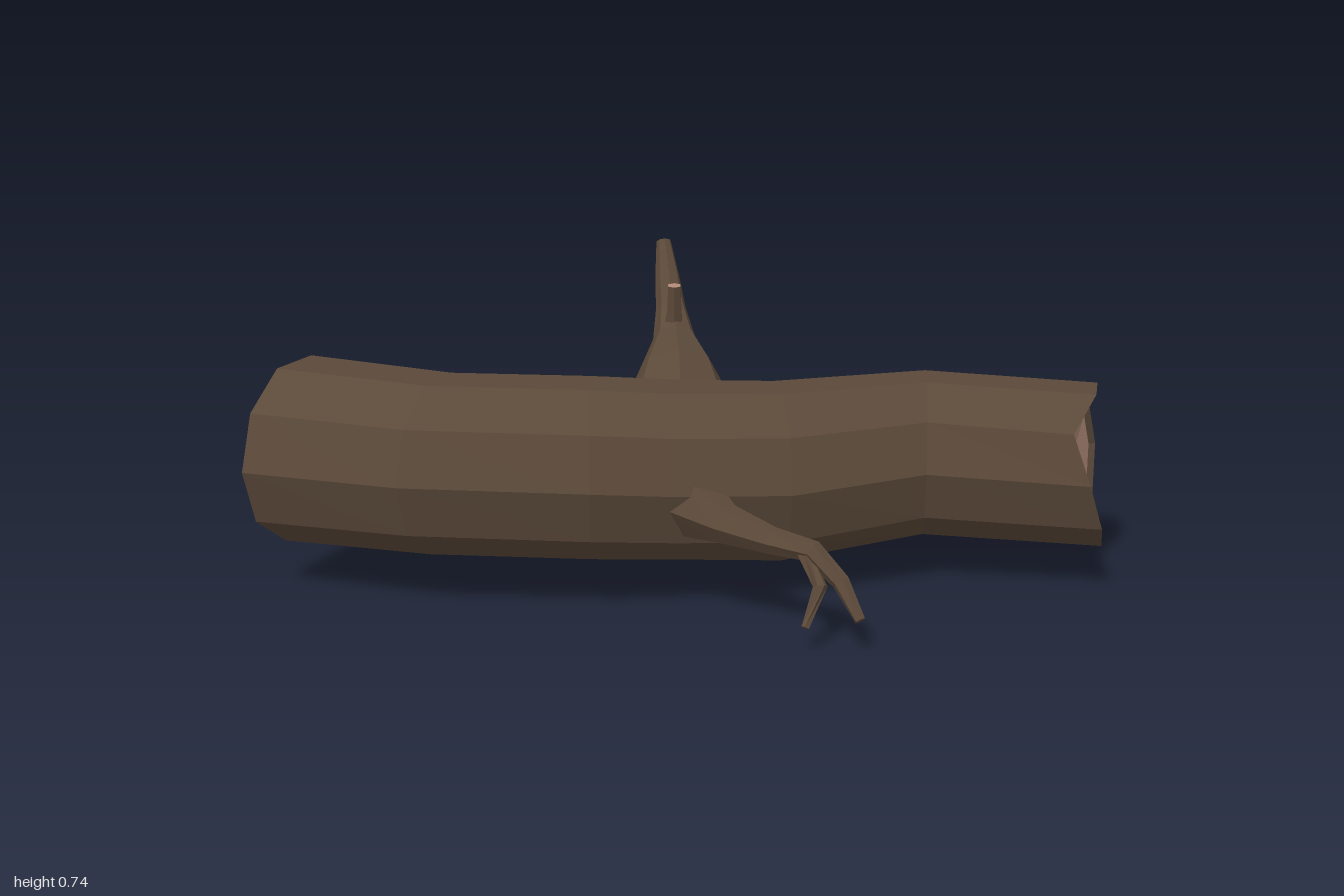
import * as THREE from 'three';

const bark = new THREE.MeshStandardMaterial({ color: 0x5b4939, flatShading: true });
bark.name = 'bark brown';
const wood = new THREE.MeshStandardMaterial({ color: 0xb08978, flatShading: true });
wood.name = 'cut wood';

const V = (x, y, z) => new THREE.Vector3(x, y, z);

// Skin a row of equal-sized rings; a ring may collapse to one point.
function loft(rings) {
  const pos = [];
  const tri = (a, b, c) => {
    const area = b.clone().sub(a).cross(c.clone().sub(a)).length();
    if (area > 1e-9) for (const p of [a, b, c]) pos.push(p.x, p.y, p.z);
  };
  for (let i = 0; i < rings.length - 1; i++) {
    const n = rings[i].length;
    for (let k = 0; k < n; k++) {
      const j = (k + 1) % n;
      const a = rings[i][k], b = rings[i][j], c = rings[i + 1][j], d = rings[i + 1][k];
      tri(a, b, c);
      tri(a, c, d);
    }
  }
  const g = new THREE.BufferGeometry();
  g.setAttribute('position', new THREE.Float32BufferAttribute(pos, 3));
  g.computeVertexNormals();
  return g;
}

function part(name, rings, material) {
  const m = new THREE.Mesh(loft(rings), material);
  m.name = name;
  return m;
}

const point = (p, n) => Array.from({ length: n }, () => p);

// Ring facing along a path, with its middle at p.
function ringAt(p, t, r, n) {
  const ref = Math.abs(t.y) > 0.9 ? V(1, 0, 0) : V(0, 1, 0);
  const u = ref.cross(t).normalize();
  const v = t.clone().cross(u);
  return Array.from({ length: n }, (_, k) => {
    const a = (k / n) * Math.PI * 2;
    return p.clone().addScaledVector(u, r * Math.cos(a)).addScaledVector(v, r * Math.sin(a));
  });
}

// Tapering limb; each node is [x, y, z, radius].
function limb(name, nodes, sides, tipMaterial) {
  const pts = nodes.map((n) => V(n[0], n[1], n[2]));
  const last = pts.length - 1;
  const rings = pts.map((p, i) => {
    const t = pts[Math.min(i + 1, last)].clone().sub(pts[Math.max(i - 1, 0)]).normalize();
    return ringAt(p, t, nodes[i][3], sides);
  });
  const g = new THREE.Group();
  g.name = name;
  g.add(part(name + 'Bark', rings, bark));
  g.add(part(name + 'Tip', [rings[last], point(pts[last], sides)], tipMaterial));
  return g;
}

// Ten-sided bent trunk with recessed cut ends.
function trunk() {
  const SIDES = 10;
  // front x, front z, back x, back z, centre y, radius
  const sections = [
    [0.93, 0.2, 1.0, -0.17, 0.28, 0.193],
    [0.56, 0.16, 0.58, -0.22, 0.295, 0.195],
    [0.25, 0.28, 0.19, -0.12, 0.28, 0.21],
    [-0.02, 0.34, 0.0, -0.09, 0.295, 0.207],
    [-0.2, 0.375, -0.22, -0.05, 0.31, 0.21],
    [-0.63, 0.35, -0.48, -0.045, 0.315, 0.21],
    [-1.0, 0.22, -0.82, -0.2, 0.31, 0.22],
  ];
  const jag = [0, -0.045, 0, 0, -0.02, 0, 0, 0.015, 0.03, 0.03];
  const rings = sections.map(([fx, fz, bx, bz, cy, r], i) =>
    Array.from({ length: SIDES }, (_, k) => {
      const a = (k / SIDES) * Math.PI * 2;
      const c = Math.cos(a) / 2;
      const dx = i === 0 ? jag[k] : 0;
      return V((fx + bx) / 2 + (fx - bx) * c + dx, cy + r * Math.sin(a), (fz + bz) / 2 + (fz - bz) * c);
    }));
  const inset = (ring, mid, depth) => ring.map((p) => {
    const q = p.clone().lerp(mid, 0.07);
    q.x = p.x + (mid.x - p.x) * 0.07 - depth;
    return q;
  });
  const midR = V(0.92, 0.28, -0.03), midL = V(-0.88, 0.31, 0.0);
  const innerR = inset(rings[0], midR, 0.012);
  const innerL = inset(rings[6], midL, -0.012);
  const g = new THREE.Group();
  g.name = 'trunk';
  g.add(part('trunkBark', [innerR, ...rings, innerL], bark));
  g.add(part('cutEndLeft', [point(midR, SIDES), innerR], wood));
  g.add(part('cutEndRight', [innerL, point(midL, SIDES)], wood));
  return g;
}

export function createModel() {
  const model = new THREE.Group();
  model.name = 'fallenLog';
  model.add(trunk());

  // Upright branch at the back, with a short stub
  model.add(limb('topBranch', [
    [-0.01, 0.38, -0.01, 0.135], [-0.015, 0.455, -0.11, 0.1], [-0.025, 0.525, -0.215, 0.052],
    [-0.035, 0.585, -0.285, 0.037], [-0.045, 0.655, -0.335, 0.03], [-0.055, 0.735, -0.382, 0.018],
  ], 8, wood));
  model.add(limb('topStub', [
    [-0.03, 0.53, -0.225, 0.03], [-0.025, 0.59, -0.212, 0.02], [-0.025, 0.66, -0.203, 0.017],
  ], 6, wood));

  // Drooping branch at the back
  model.add(limb('backBranch', [
    [0.64, 0.215, -0.13, 0.11], [0.65, 0.165, -0.225, 0.066], [0.665, 0.138, -0.32, 0.046],
    [0.68, 0.12, -0.435, 0.042], [0.69, 0.083, -0.48, 0.043], [0.695, 0.02, -0.525, 0.029],
  ], 6, bark));

  // Thin forked branch at the front
  model.add(limb('frontBranch', [
    [0.02, 0.26, 0.26, 0.085], [0.1, 0.235, 0.345, 0.046], [0.2, 0.215, 0.4, 0.031],
    [0.29, 0.205, 0.445, 0.025], [0.35, 0.15, 0.49, 0.02], [0.39, 0.08, 0.538, 0.012],
  ], 6, bark));
  model.add(limb('frontTwig', [
    [0.265, 0.21, 0.435, 0.018], [0.305, 0.14, 0.49, 0.016], [0.272, 0.06, 0.53, 0.01],
  ], 6, bark));
  return model;
}
